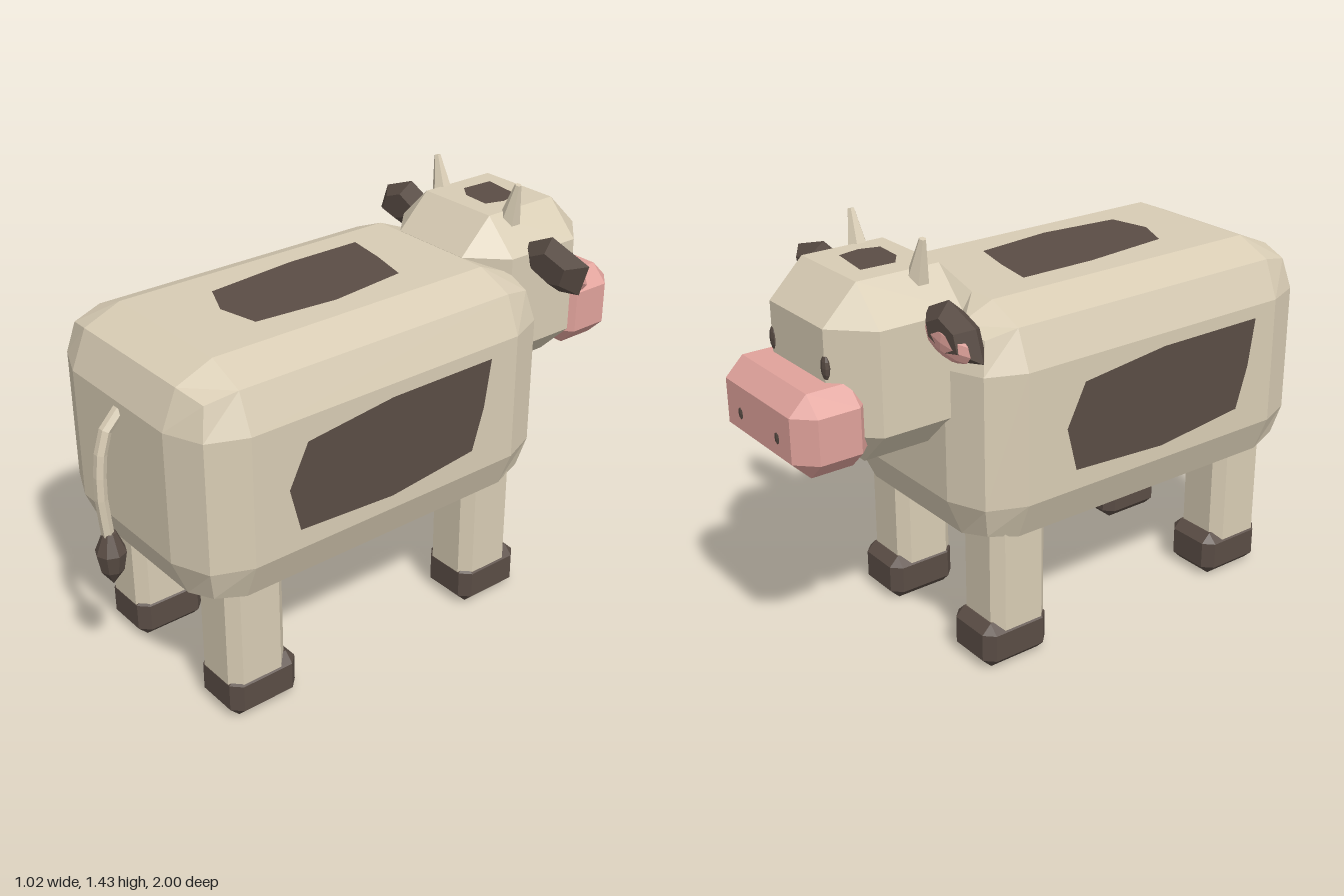
import * as THREE from 'three';
import { RoundedBoxGeometry } from 'three/addons/geometries/RoundedBoxGeometry.js';
import { ConvexGeometry } from 'three/addons/geometries/ConvexGeometry.js';

const mat = (name, color) => {
  const m = new THREE.MeshStandardMaterial({ color, flatShading: true });
  m.name = name;
  return m;
};

// Box with a flat chamfer c on every edge
function chamferBox(w, h, d, c) {
  const pts = [];
  for (const sx of [-1, 1]) for (const sy of [-1, 1]) for (const sz of [-1, 1]) {
    const x = w / 2, y = h / 2, z = d / 2;
    pts.push(new THREE.Vector3(sx * x, sy * (y - c), sz * (z - c)));
    pts.push(new THREE.Vector3(sx * (x - c), sy * y, sz * (z - c)));
    pts.push(new THREE.Vector3(sx * (x - c), sy * (y - c), sz * z));
  }
  return new ConvexGeometry(pts);
}

const polygon = (pts) => new THREE.ShapeGeometry(new THREE.Shape(pts.map(([x, y]) => new THREE.Vector2(x, y))));

export function createModel() {
  const cream = mat('cream hide', 0xd8ccb4);
  const brown = mat('dark brown', 0x5a4d45);
  const pink = mat('pink skin', 0xe0a29b);

  const model = new THREE.Group();
  model.name = 'cow';
  const add = (name, geometry, material, x = 0, y = 0, z = 0) => {
    const mesh = new THREE.Mesh(geometry, material);
    mesh.name = name;
    mesh.position.set(x, y, z);
    model.add(mesh);
    return mesh;
  };

  // Body, head and muzzle (the animal looks towards -z)
  add('body', new RoundedBoxGeometry(0.86, 0.8, 1.4, 1, 0.18), cream, 0, 0.81, 0.19);
  add('head', chamferBox(0.54, 0.565, 0.52, 0.117), cream, 0, 1.043, -0.595);
  add('muzzle', chamferBox(0.5, 0.265, 0.26, 0.06), pink, 0, 0.912, -0.87);

  // Hide patches: back and forehead, given as [x, z]
  const topPatch = (name, pts, y) =>
    add(name, polygon(pts.map(([x, z]) => [x, -z])).rotateX(-Math.PI / 2), brown, 0, y, 0);
  topPatch('backPatch', [[-0.16, -0.143], [-0.015, -0.12], [0.13, -0.085], [0.165, 0.195],
    [0.14, 0.48], [0, 0.51], [-0.125, 0.455], [-0.16, 0.13]], 1.214);
  topPatch('foreheadPatch', [[-0.08, -0.677], [0.074, -0.656], [0.09, -0.58],
    [0.07, -0.513], [-0.03, -0.52], [-0.085, -0.56]], 1.329);

  // Side patches, given as [z, y]; the second is the first turned half round
  const flank = [[0.515, 0.95], [0.19, 0.987], [-0.215, 0.987], [-0.19, 0.823],
    [-0.145, 0.678], [0.19, 0.64], [0.547, 0.66], [0.585, 0.81]];
  const flankGeo = polygon(flank.map(([z, y]) => [-z, y])).rotateY(Math.PI / 2).translate(0.434, 0, 0);
  add('leftFlankPatch', flankGeo, brown);
  add('rightFlankPatch', flankGeo, brown, 0, 0, 0.4).rotation.y = Math.PI;

  // Legs and hooves
  const legGeo = chamferBox(0.2, 0.5, 0.214, 0.035);
  const hoofGeo = chamferBox(0.21, 0.16, 0.252, 0.033);
  for (const side of [-1, 1]) {
    for (const [name, z] of [['front', -0.306], ['back', 0.66]]) {
      add(name + 'Leg', legGeo, cream, side * 0.27, 0.34, z);
      add(name + 'Hoof', hoofGeo, brown, side * 0.27, 0.08, z - 0.018);
    }
  }

  // Eyes, nostrils and horns
  const ball = new THREE.SphereGeometry(1, 8, 6);
  const hornGeo = new THREE.CylinderGeometry(0.011, 0.046, 0.18, 6);
  for (const side of [-1, 1]) {
    add('eye', ball, brown, side * 0.15, 1.09, -0.85).scale.set(0.02, 0.04, 0.012);
    add('nostril', ball, brown, side * 0.11, 0.895, -0.995).scale.set(0.018, 0.026, 0.008);
    add('horn', hornGeo, cream, side * 0.174, 1.337, -0.535).rotation.z = -side * 0.24;
  }

  // Ears: faceted leaves with a smaller cap on both faces
  const ears = {
    leftEar: [[0.23, 1.23], [0.345, 1.285], [0.51, 1.235], [0.475, 1.125], [0.39, 1.11], [0.25, 1.16]],
    rightEar: [[-0.23, 1.23], [-0.345, 1.285], [-0.475, 1.235], [-0.51, 1.14], [-0.39, 1.11], [-0.25, 1.16]],
  };
  for (const [name, outline] of Object.entries(ears)) {
    const side = Math.sign(outline[0][0]);
    const cx = side * 0.37, cy = 1.19, pts = [];
    for (const [x, y] of outline) {
      pts.push(new THREE.Vector3(x, y, -0.552));
      for (const s of [-1, 1]) {
        pts.push(new THREE.Vector3(cx + (x - cx) * 0.55, cy + (y - cy) * 0.55, -0.552 + s * 0.046));
      }
    }
    add(name, new ConvexGeometry(pts), brown);
    const inner = add(name + 'Inside', ball, pink, cx, cy - 0.015, -0.578);
    inner.scale.set(0.115, 0.052, 0.025);
    inner.rotation.z = -side * 0.15;
  }

  // Tail and tuft
  const path = new THREE.CatmullRomCurve3([[1.0, 0.88], [0.94, 0.935], [0.77, 0.966], [0.57, 0.953]]
    .map(([y, z]) => new THREE.Vector3(0, y, z)));
  add('tail', new THREE.TubeGeometry(path, 6, 0.02, 6), cream);
  const tuft = [[0, 0.41], [0.038, 0.465], [0.05, 0.53], [0.022, 0.598], [0, 0.606]];
  add('tailTuft', new THREE.LatheGeometry(tuft.map(([r, y]) => new THREE.Vector2(r, y)), 8), brown, 0, 0, 0.95);

  return model;
}
